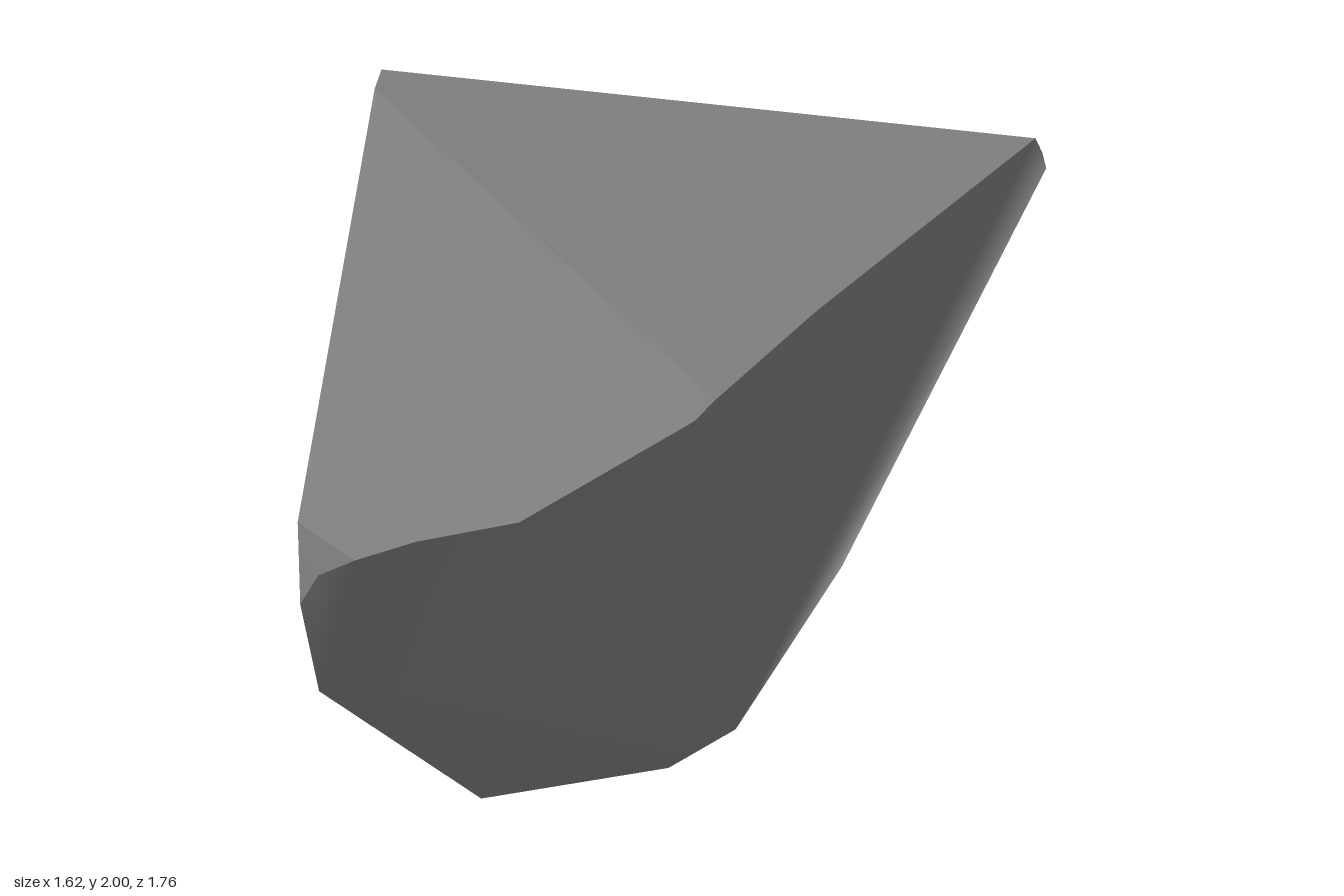
import * as THREE from 'three';
import { mergeGeometries } from 'three/addons/utils/BufferGeometryUtils.js';

// Corners of the stone
const P = {
  peak: [-0.69, 2, 0.08], peakFront: [-0.68, 1.98, 0.14],
  tipTop: [0.78, 1.82, -0.44], tipLow: [0.81, 1.73, -0.47], tipBack: [0.79, 1.75, -0.51],
  back: [-0.19, 1, -0.885], backSide: [-0.61, 1.02, -0.76], backLow: [-0.45, 0.49, -0.68],
  side: [-0.81, 1.46, -0.35], sideLow: [-0.66, 0.62, 0.75],
  foot: [-0.41, 0, 0.4], footBack: [-0.38, 0.14, -0.26], footRight: [0.09, 0.15, 0.26],
  flankLow: [0.28, 0.36, 0.27], flank: [0.49, 0.81, 0.07],
  rim1: [0.43, 1.64, 0.21], rim2: [0.29, 1.56, 0.52], rim3: [0.26, 1.53, 0.57],
  rim4: [-0.08, 1.31, 0.77], rim5: [-0.31, 1.24, 0.83], rim6: [-0.44, 1.19, 0.88],
  chipTop: [-0.6, 1.23, 0.84], chipLow: [-0.54, 1.12, 0.88], chipSide: [-0.61, 1, 0.86],
};

// Flat cut faces, each a convex polygon
const cuts = [
  'peak tipTop tipBack back backSide side',
  'backSide back backLow',
  'tipBack back backLow footBack footRight flankLow flank tipLow',
  'footBack footRight foot',
  'side backSide backLow footBack foot sideLow',
  'peak side sideLow chipSide chipTop peakFront',
  'peakFront chipTop rim6 rim5 rim4 rim3',
  'peakFront rim3 rim2',
  'peak peakFront rim2 rim1 tipTop',
  'chipTop chipSide chipLow rim6',
  'tipTop tipLow tipBack',
];

// Front faces that blend softly into one another
const softFront = [
  'sideLow foot footRight flankLow rim4 rim5 rim6 chipLow chipSide',
  'flankLow rim2 rim3 rim4',
  'flankLow flank tipLow tipTop rim1 rim2',
];

// Fans each polygon into triangles facing outward; corners are shared within one call
function facets(polygons) {
  const names = [...new Set(polygons.join(' ').split(' '))];
  const index = [];
  const centre = new THREE.Vector3(0, 1, 0);
  for (const polygon of polygons) {
    const corners = polygon.split(' ');
    const v = corners.map((n) => new THREE.Vector3(...P[n]));
    const normal = new THREE.Vector3();
    for (let i = 1; i < v.length - 1; i++) {
      normal.add(v[i].clone().sub(v[0]).cross(v[i + 1].clone().sub(v[0])));
    }
    if (normal.dot(v[0].clone().sub(centre)) < 0) corners.reverse();
    const ids = corners.map((n) => names.indexOf(n));
    for (let i = 1; i < ids.length - 1; i++) index.push(ids[0], ids[i], ids[i + 1]);
  }
  const g = new THREE.BufferGeometry();
  g.setAttribute('position', new THREE.Float32BufferAttribute(names.flatMap((n) => P[n]), 3));
  g.setIndex(index);
  g.computeVertexNormals();
  return g;
}

export function createModel() {
  const stone = new THREE.MeshStandardMaterial({ color: 0x808080 });
  stone.name = 'stone grey';

  const cutFaces = new THREE.Mesh(mergeGeometries(cuts.map((c) => facets([c]))), stone);
  cutFaces.name = 'cutFaces';
  const front = new THREE.Mesh(facets(softFront), stone);
  front.name = 'softFront';

  const rock = new THREE.Group();
  rock.name = 'rock';
  rock.add(cutFaces, front);
  return rock;
}
